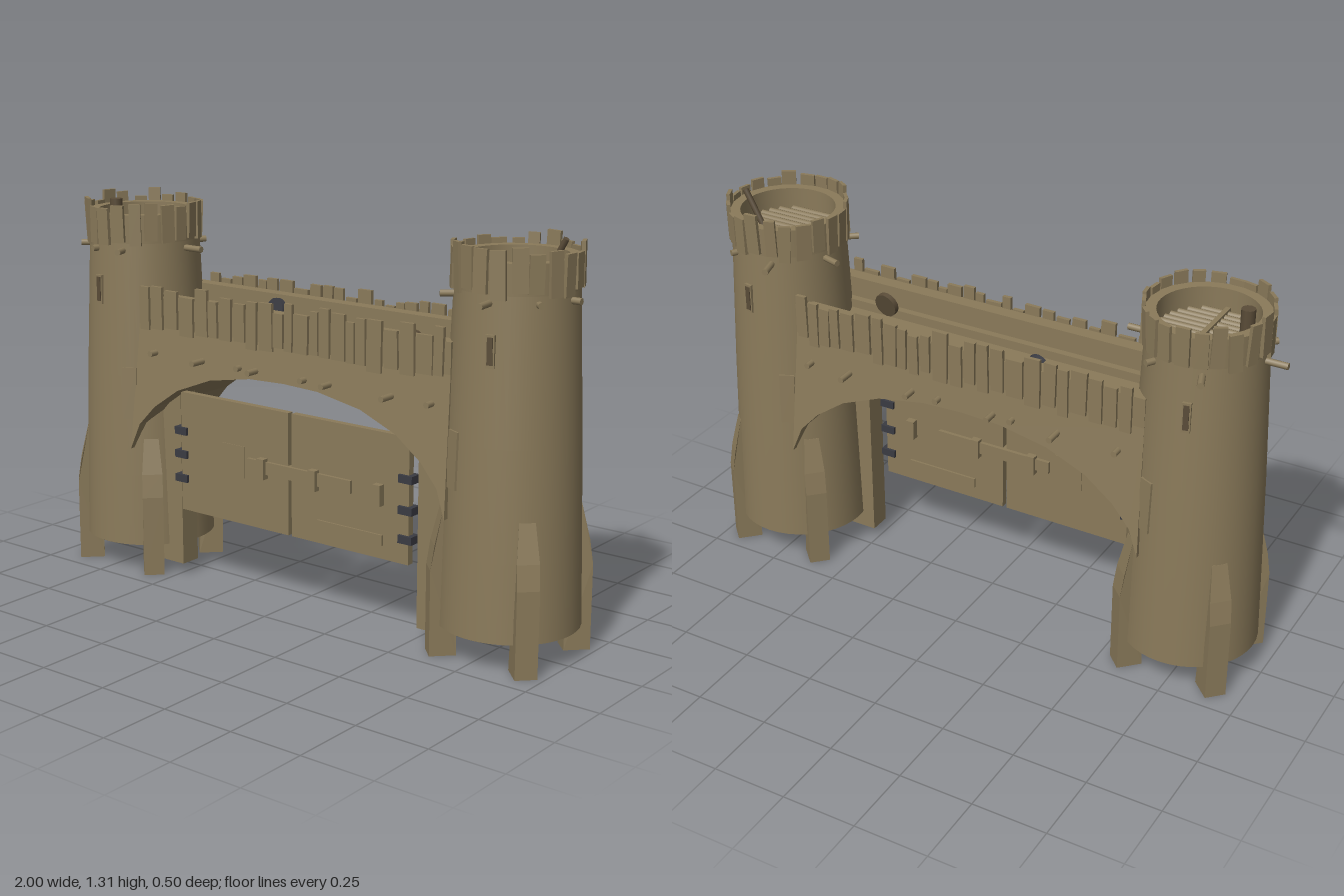
import * as THREE from 'three';

export function createModel() {
  const model = new THREE.Group();
  model.name = 'gatehouse';
  const wood = new THREE.MeshStandardMaterial({ name: 'wood', color: 0x8a7a5a, side: THREE.DoubleSide });
  const iron = new THREE.MeshStandardMaterial({ name: 'dark iron', color: 0x3a3b42 });
  const darkWood = new THREE.MeshStandardMaterial({ name: 'dark wood', color: 0x5a4c38 });
  const ZC = -0.005;

  // small seeded random for uneven planks
  let seed = 7;
  const rnd = (a, b) => {
    seed = (seed * 16807) % 2147483647;
    return a + (b - a) * (seed / 2147483647);
  };
  const add = (parent, name, geo, mat = wood) => {
    const m = new THREE.Mesh(geo, mat);
    m.name = name;
    parent.add(m);
    return m;
  };
  // box given by its limits
  const box = (parent, name, x0, x1, y0, y1, z0, z1, mat = wood) => {
    const m = add(parent, name, new THREE.BoxGeometry(x1 - x0, y1 - y0, z1 - z0), mat);
    m.position.set((x0 + x1) / 2, (y0 + y1) / 2, (z0 + z1) / 2);
    return m;
  };
  const polygon = pts => new THREE.Shape(pts.map(p => new THREE.Vector2(p[0], p[1])));
  const lathe = pts => new THREE.LatheGeometry(pts.map(p => new THREE.Vector2(p[0], p[1])), 40);
  // empty pivot turned about the tower axis; its +z points outward
  const spoke = (parent, angle) => {
    const g = new THREE.Group();
    g.rotation.y = angle;
    parent.add(g);
    return g;
  };

  function tower(x, pegs, slitAngle, side) {
    const t = new THREE.Group();
    t.name = side > 0 ? 'leftTower' : 'rightTower';
    t.position.set(x, 0, ZC);
    model.add(t);

    // tapered hollow body and parapet wall
    add(t, 'towerBody', lathe([[0.226, 0.1], [0.219, 0.35], [0.208, 0.7], [0.189, 1.16]]));
    add(t, 'parapetOuter', lathe([[0.189, 1.14], [0.191, 1.25]]));
    add(t, 'parapetRim', lathe([[0.191, 1.25], [0.157, 1.25]]));
    add(t, 'parapetInner', lathe([[0.157, 1.25], [0.157, 1.16]]));

    // log floor
    const floor = add(t, 'towerFloor', new THREE.CylinderGeometry(0.158, 0.158, 0.01, 32));
    floor.position.y = 1.165;
    for (let i = -5; i <= 5; i++) {
      const z = i * 0.027;
      const len = 2 * Math.sqrt(0.156 ** 2 - z * z);
      const log = add(t, 'floorLog', new THREE.CylinderGeometry(0.0125, 0.0125, len, 8));
      log.rotation.z = Math.PI / 2;
      log.position.set(0, 1.175, z);
    }

    // uneven ring of planks
    const n = 22;
    for (let i = 0; i < n; i++) {
      const s = spoke(t, (i / n) * Math.PI * 2 + rnd(-0.03, 0.03));
      const w = rnd(0.036, 0.05), low = 1.15 + rnd(-0.012, 0.015), high = 1.277 + rnd(-0.015, 0.022);
      const p = box(s, 'parapetPlank', -w / 2, w / 2, low, high, 0.188, 0.2);
      p.rotation.z = rnd(-0.04, 0.04);
      p.rotation.x = rnd(-0.02, 0.05);
    }

    // four diagonal buttresses
    const profile = polygon([[0.17, 0], [0.255, 0], [0.255, 0.28], [0.243, 0.36], [0.215, 0.48], [0.18, 0.48]]);
    const geo = new THREE.ExtrudeGeometry(profile, { depth: 0.07, bevelEnabled: false });
    geo.translate(0, 0, -0.035);
    const pos = geo.attributes.position;
    for (let i = 0; i < pos.count; i++) if (pos.getY(i) > 0.4) pos.setZ(i, pos.getZ(i) * 0.72);
    geo.computeVertexNormals();
    for (let k = 0; k < 4; k++) {
      add(t, 'buttress', geo).rotation.y = Math.PI / 4 + k * Math.PI / 2;
    }

    // projecting pegs: [angle, reach]
    for (const [a, reach] of pegs) {
      const peg = add(spoke(t, a), 'towerPeg', new THREE.CylinderGeometry(0.011, 0.011, reach - 0.17, 8));
      peg.rotation.x = Math.PI / 2;
      peg.position.set(0, 1.13, (reach + 0.17) / 2);
    }

    // narrow windows and plates, front and back
    for (const back of [0, Math.PI]) {
      const s = spoke(t, back + (back ? -slitAngle : slitAngle));
      box(s, 'windowFrame', -0.014, 0.014, 0.94, 1.04, 0.185, 0.203);
      box(s, 'windowSlit', -0.009, 0.009, 0.95, 1.033, 0.2, 0.206, darkWood);
      const inward = back ? -side : side;
      const plate = box(spoke(t, back + inward * 0.45), 'towerPlate', -0.025, 0.025, 0.55, 0.73, 0.2, 0.215);
      plate.rotation.x = -0.03;
    }
    return t;
  }

  const H = Math.PI / 2;
  const west = tower(-0.74, [[-H, 0.26], [H, 0.26], [-2.8, 0.25], [0.35, 0.235], [-0.25, 0.21], [-0.9, 0.22], [2.6, 0.22]], -0.15, 1);
  const east = tower(0.775, [[-H - 0.3, 0.25], [0.12, 0.255], [-2.85, 0.255], [H, 0.22], [-0.9, 0.23], [0.9, 0.21], [2.6, 0.21]], 0.18, -1);

  // loose things on the tower floors
  box(west, 'floorBeam', -0.008, 0.008, 1.18, 1.193, -0.15, 0.15);
  const stick = add(east, 'leaningPole', new THREE.CylinderGeometry(0.01, 0.01, 0.15, 8), darkWood);
  stick.position.set(0.1, 1.235, -0.045);
  stick.rotation.z = -0.5;
  const keg = add(west, 'keg', new THREE.CylinderGeometry(0.022, 0.022, 0.09, 10), darkWood);
  keg.position.set(-0.115, 1.23, 0.02);

  // arched bridge, its faces leaning outward towards the foot
  const bridge = new THREE.Group();
  bridge.name = 'bridge';
  bridge.position.set(0.015, 0, ZC);
  model.add(bridge);
  const half = [[0.14, 0.765], [0.31, 0.735], [0.45, 0.68], [0.55, 0.61], [0.615, 0.54], [0.65, 0.45]];
  const arch = [[-0.635, 0.89], ...half.map(p => [-p[0], p[1]]).reverse(), [0, 0.77], ...half, [0.635, 0.89]];
  const archGeo = new THREE.ExtrudeGeometry(polygon(arch), { depth: 1, bevelEnabled: false });
  const ap = archGeo.attributes.position;
  for (let i = 0; i < ap.count; i++) {
    const h = 0.16 + Math.max(0, 0.89 - ap.getY(i)) * 0.1;
    ap.setZ(i, ap.getZ(i) > 0.5 ? h : -h);
  }
  archGeo.computeVertexNormals();
  add(bridge, 'archSpan', archGeo);

  for (const s of [1, -1]) {
    const wallSide = new THREE.Group();
    wallSide.name = s > 0 ? 'frontParapet' : 'backParapet';
    wallSide.rotation.y = s > 0 ? 0 : Math.PI;
    bridge.add(wallSide);
    box(wallSide, 'parapetWall', -0.635, 0.635, 0.88, 0.99, 0.11, 0.16);
    box(wallSide, 'walkLedge', -0.6, 0.6, 0.88, 0.92, 0.085, 0.11);

    // uneven planks along the wall
    let x = -0.625;
    while (x < 0.6) {
      const w = rnd(0.03, 0.058);
      const p = box(wallSide, 'wallPlank', x, x + w, 0.865 + rnd(-0.008, 0.02), 1.01 + rnd(-0.015, 0.026), 0.157, 0.17);
      p.rotation.z = rnd(-0.025, 0.025);
      x += w + rnd(0.004, 0.014);
    }
    // log ends
    for (const [px, reach] of [[-0.555, 0.2], [-0.345, 0.225], [-0.185, 0.19], [-0.115, 0.215], [0.085, 0.195], [0.185, 0.215], [0.425, 0.225], [0.575, 0.2]]) {
      const peg = add(wallSide, 'bridgePeg', new THREE.CylinderGeometry(0.0105, 0.0105, reach - 0.14, 8));
      peg.rotation.x = H;
      peg.position.set(px * s, 0.795, (reach + 0.14) / 2);
    }
  }

  // round shields left on the walkway
  for (const [sx, sz, turn, mat] of [[-0.22, -0.065, 0.2, iron], [0.425, 0.065, 0.1, darkWood]]) {
    const shield = add(bridge, 'shield', new THREE.CylinderGeometry(0.042, 0.042, 0.018, 14), mat);
    shield.rotation.set(H - 0.2, 0, turn);
    shield.position.set(sx, 0.945, sz);
  }

  // gate posts
  const gate = new THREE.Group();
  gate.name = 'gate';
  model.add(gate);
  box(gate, 'gatePost', -0.6, -0.482, 0.04, 0.7, 0.035, 0.11);
  box(gate, 'gatePost', 0.508, 0.62, 0.04, 0.7, 0.035, 0.11);

  // door leaves, with fittings on both faces
  const Z = 0.12;
  box(gate, 'doorLeaf', -0.46, 0.007, 0.25, 0.665, Z - 0.012, Z + 0.012);
  box(gate, 'doorLeaf', 0.021, 0.488, 0.25, 0.665, Z - 0.012, Z + 0.012);
  box(gate, 'lockBar', -0.16, 0.268, 0.444, 0.487, Z - 0.024, Z + 0.024);
  for (const x of [-0.095, 0.12, 0.378]) box(gate, 'barBracket', x - 0.015, x + 0.015, 0.428, 0.497, Z - 0.036, Z + 0.036);
  box(gate, 'doorBatten', 0.13, 0.39, 0.295, 0.33, Z - 0.019, Z + 0.019);
  box(gate, 'doorPatch', -0.28, -0.18, 0.41, 0.52, Z - 0.015, Z + 0.015);

  // iron hinges
  for (const [x, ys] of [[-0.456, [0.53, 0.448, 0.363]], [0.479, [0.53, 0.428, 0.333]]]) {
    for (const y of ys) box(gate, 'hinge', x - 0.026, x + 0.026, y - 0.013, y + 0.013, Z - 0.022, Z + 0.022, iron);
  }
  return model;
}
